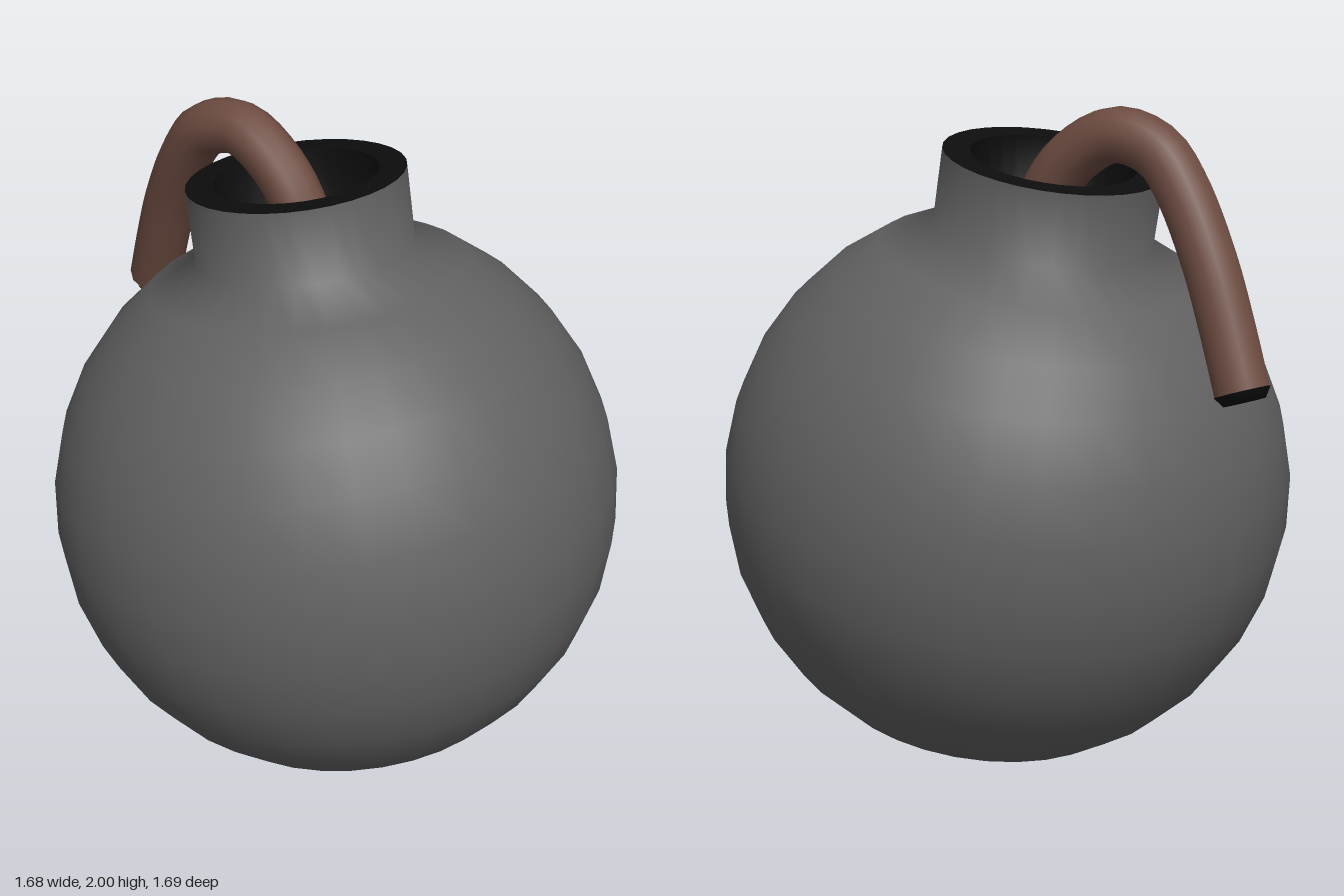
import * as THREE from 'three';

const R = 0.845;        // ball radius
const NECK = 0.32;      // neck radius
const TOP = 1.0;        // neck height above the ball centre
const V = (x, y) => new THREE.Vector2(x, y);

function material(name, color) {
  const m = new THREE.MeshStandardMaterial({ color });
  m.name = name;
  return m;
}

function addMesh(parent, name, geometry, mat) {
  const mesh = new THREE.Mesh(geometry, mat);
  mesh.name = name;
  parent.add(mesh);
  return mesh;
}

export function createModel() {
  const model = new THREE.Group();
  model.name = 'roundBomb';
  const grey = material('ironGrey', 0x616161);
  const black = material('black', 0x0d0d0d);
  const brown = material('fuseBrown', 0x6d4c41);

  // Ball and neck share an axis that leans to the back right
  const casing = new THREE.Group();
  casing.name = 'casing';
  casing.position.y = R;
  casing.quaternion.setFromUnitVectors(
    new THREE.Vector3(0, 1, 0), new THREE.Vector3(-0.1, 1, -0.14).normalize());
  model.add(casing);

  // Outer shell: ball running smoothly into the neck
  const profile = [];
  const rows = 14, neckAngle = Math.asin(NECK / R);
  for (let i = 0; i <= rows; i++) {
    const a = Math.PI + (neckAngle - Math.PI) * i / rows;
    profile.push(V(i ? R * Math.sin(a) : 0, R * Math.cos(a)));
  }
  profile.push(V(NECK, TOP));
  addMesh(casing, 'ballAndNeck', new THREE.LatheGeometry(profile, 32), grey);

  // Flat rim and the sunken opening
  addMesh(casing, 'neckRim', new THREE.LatheGeometry([V(NECK, TOP), V(0.24, TOP)], 32), black);
  addMesh(casing, 'neckOpening', new THREE.LatheGeometry(
    [V(0.24, TOP), V(0.24, TOP - 0.2), V(0, TOP - 0.2)], 32), black);

  // Fuse arching out of the opening and down over the ball
  const path = new THREE.CatmullRomCurve3([
    [-0.06, 1.60, -0.09], [-0.09, 1.74, -0.12], [-0.15, 1.85, -0.185],
    [-0.24, 1.92, -0.28], [-0.33, 1.885, -0.37], [-0.38, 1.79, -0.44],
    [-0.43, 1.60, -0.54], [-0.46, 1.43, -0.61], [-0.485, 1.26, -0.675],
  ].map(p => new THREE.Vector3(...p)));
  addMesh(model, 'fuse', new THREE.TubeGeometry(path, 32, 0.08, 12), brown);

  // Dark burnt tip closing the fuse end
  const tip = addMesh(model, 'fuseTip', new THREE.LatheGeometry(
    [V(0.08, 0), V(0.06, 0.03), V(0, 0.03)], 12), black);
  tip.position.copy(path.getPoint(1));
  tip.quaternion.setFromUnitVectors(new THREE.Vector3(0, 1, 0), path.getTangent(1));

  return model;
}
